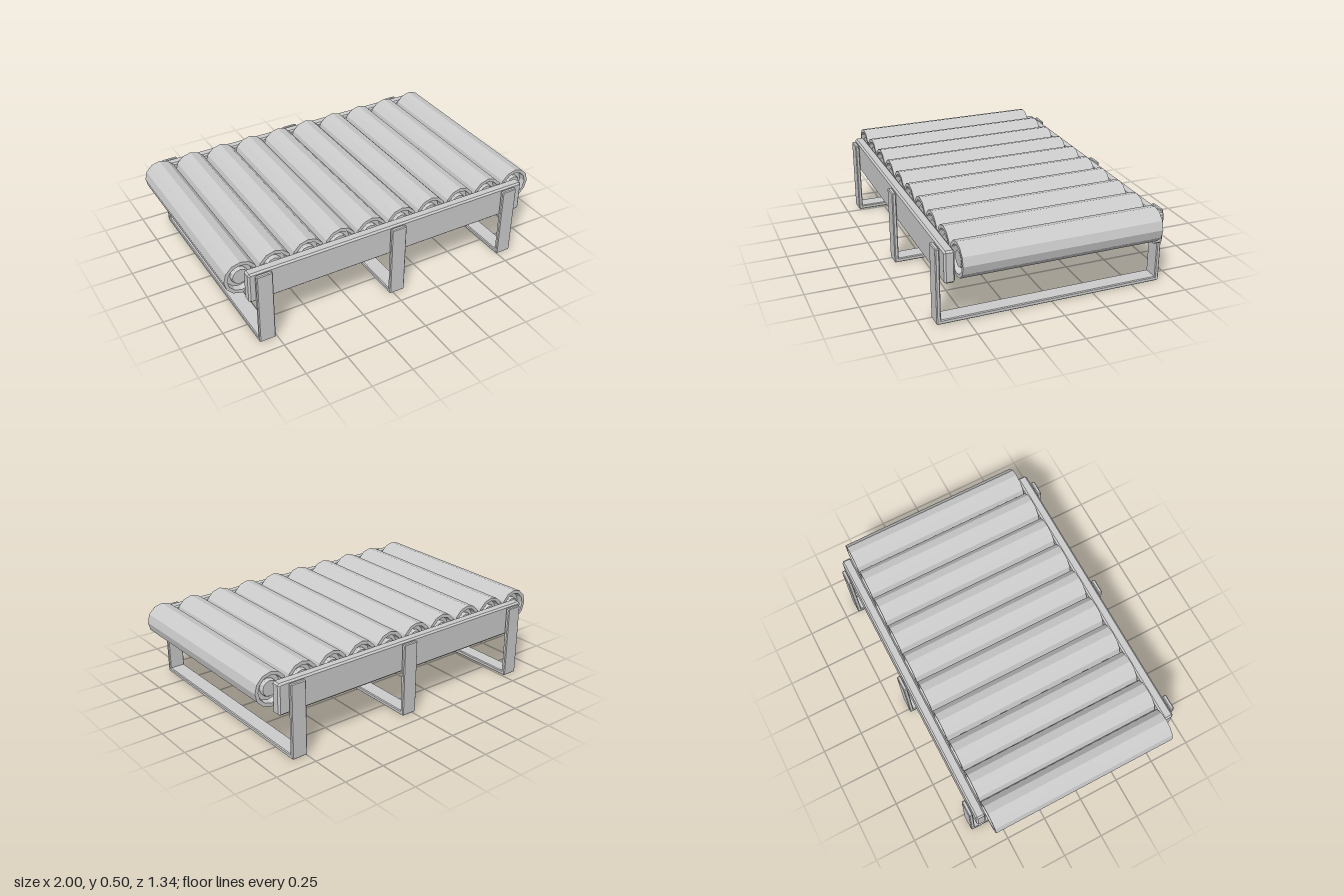
import * as THREE from 'three';

const material = new THREE.MeshStandardMaterial({ color: 0xcccccc, flatShading: true });

// Extrude an outline to a total depth centred on z, with a one-step chamfer
function chamfered(points, depth, bevel) {
  const shape = new THREE.Shape(points.map(([x, y]) => new THREE.Vector2(x, y)));
  const geometry = new THREE.ExtrudeGeometry(shape, {
    depth: depth - 2 * bevel, bevelEnabled: true, bevelSegments: 1,
    bevelSize: bevel, bevelThickness: bevel, bevelOffset: -bevel,
  });
  return geometry.translate(0, 0, -depth / 2 + bevel);
}

function addMesh(parent, geometry, name, x = 0, y = 0, z = 0) {
  const mesh = new THREE.Mesh(geometry, material);
  mesh.name = name;
  mesh.position.set(x, y, z);
  parent.add(mesh);
  return mesh;
}

// Twelve-sided roller with a recessed ring and hub at both ends
function rollerGeometry() {
  const end = [[0, 0.565], [0.045, 0.565], [0.05, 0.555], [0.05, 0.54], [0.075, 0.54], [0.08, 0.575], [0.1, 0.575]];
  const profile = [
    ...end.map(([r, h]) => new THREE.Vector2(r, -h)),
    ...end.slice().reverse().map(([r, h]) => new THREE.Vector2(r, h)),
  ];
  return new THREE.LatheGeometry(profile, 12).rotateX(Math.PI / 2);
}

export function createModel() {
  const model = new THREE.Group();
  model.name = 'rollerConveyor';

  // Row of rollers
  const rollers = new THREE.Group();
  rollers.name = 'rollers';
  model.add(rollers);
  const roller = rollerGeometry();
  for (let i = 0; i < 10; i++) addMesh(rollers, roller, 'roller', -0.9 + i * 0.2, 0.403, 0);

  // Side rails with cut corners
  const w = 0.895, h = 0.093, c = 0.01;
  const rail = chamfered([
    [-w + c, -h], [w - c, -h], [w, -h + c], [w, h - c],
    [w - c, h], [-w + c, h], [-w, h - c], [-w, -h + c],
  ], 0.06, 0.01);
  for (const side of [1, -1]) addMesh(model, rail, side > 0 ? 'frontRail' : 'backRail', 0.005, 0.361, side * 0.611);

  // U-shaped leg frames under the rails
  const outer = 0.669, inner = 0.645, top = 0.446, bar = 0.026, k = 0.005;
  const frame = chamfered([
    [-outer + k, 0], [outer - k, 0], [outer, k], [outer, top - k], [outer - k, top],
    [inner + k, top], [inner, top - k], [inner, bar], [-inner, bar], [-inner, top - k],
    [-inner - k, top], [-outer + k, top], [-outer, top - k], [-outer, k],
  ], 0.096, 0.005).rotateY(-Math.PI / 2);
  for (const x of [-0.807, 0.025, 0.793]) addMesh(model, frame, 'legFrame', x, 0, 0);

  return model;
}
